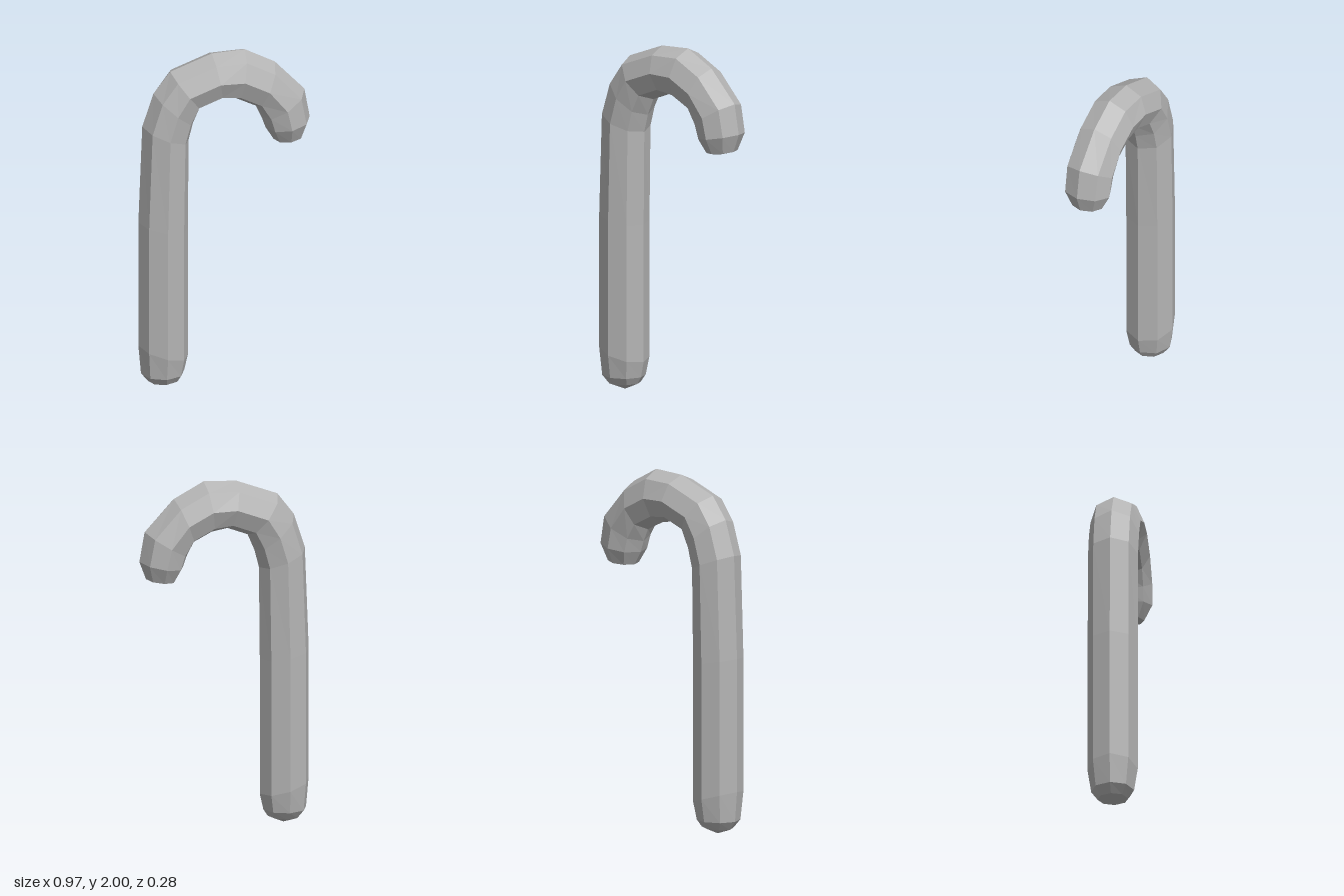
import * as THREE from 'three';

const SIDES = 8;

// Cross-sections from foot to hook end: outer x, y, inner x, y, half depth
const SECTIONS = [
  [-0.34, 0, -0.34, 0, 0],
  [-0.43, 0.03, -0.25, 0.04, 0.085],
  [-0.47, 0.08, -0.225, 0.08, 0.12],
  [-0.485, 0.25, -0.205, 0.17, 0.14],
  [-0.485, 1.0, -0.205, 0.95, 0.14],
  [-0.463, 1.58, -0.2, 1.48, 0.14],
  [-0.4, 1.775, -0.175, 1.58, 0.14],
  [-0.305, 1.9, -0.135, 1.675, 0.14],
  [-0.07, 1.99, -0.02, 1.72, 0.14],
  [0.117, 2.0, 0.07, 1.705, 0.138],
  [0.287, 1.91, 0.18, 1.65, 0.138],
  [0.455, 1.73, 0.212, 1.58, 0.138],
  [0.485, 1.56, 0.235, 1.515, 0.135],
  [0.447, 1.458, 0.28, 1.44, 0.09],
  [0.35, 1.43, 0.35, 1.43, 0],
];

// Octagonal ring spanning the outer and inner edge of the bend
function ring([ox, oy, ix, iy, depth]) {
  return Array.from({ length: SIDES }, (_, j) => {
    const a = (j / SIDES) * Math.PI * 2;
    const t = Math.cos(a) / 2;
    return new THREE.Vector3(
      (ox + ix) / 2 + (ox - ix) * t,
      (oy + iy) / 2 + (oy - iy) * t,
      depth * Math.sin(a)
    );
  });
}

// Faceted skin joining consecutive rings; the pointed ends become fans
function loft(sections) {
  const rings = sections.map(ring);
  const points = [];
  for (let i = 0; i < rings.length - 1; i++) {
    for (let j = 0; j < SIDES; j++) {
      const k = (j + 1) % SIDES;
      const [a, b, c, d] = [rings[i][j], rings[i][k], rings[i + 1][k], rings[i + 1][j]];
      if (i > 0) points.push(a, b, d);
      if (i === 0) points.push(a, c, d);
      else if (i < rings.length - 2) points.push(b, c, d);
    }
  }
  const geometry = new THREE.BufferGeometry().setFromPoints(points);
  geometry.computeVertexNormals();
  return geometry;
}

export function createModel() {
  const grey = new THREE.MeshStandardMaterial({ color: 0xb4b4b4 });
  grey.name = 'grey';

  const model = new THREE.Group();
  model.name = 'cane';

  // Straight shaft and curved handle in one continuous skin
  const cane = new THREE.Mesh(loft(SECTIONS), grey);
  cane.name = 'shaftAndHook';
  model.add(cane);
  return model;
}
